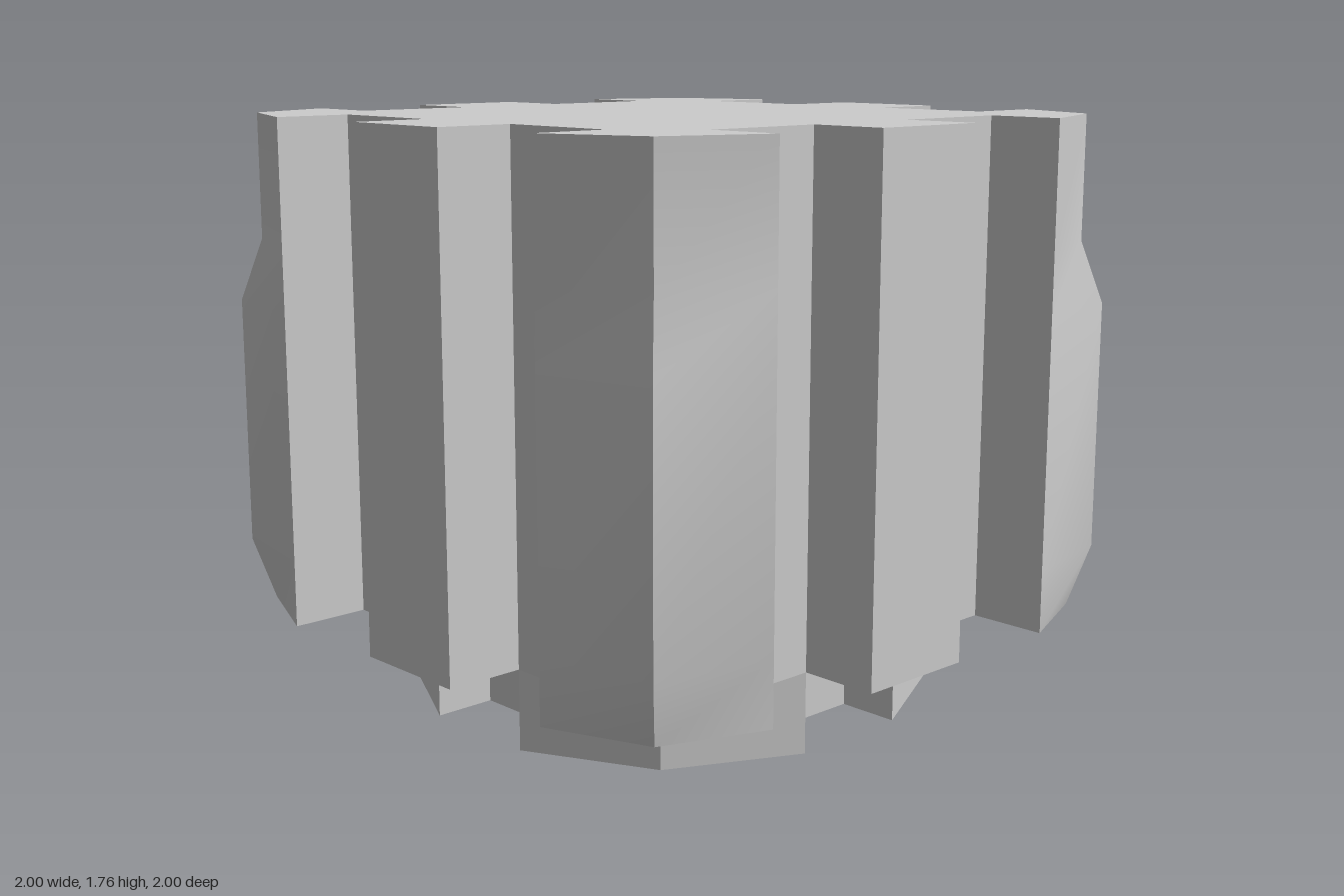
import * as THREE from 'three';
import { toCreasedNormals } from 'three/addons/utils/BufferGeometryUtils.js';

// Repeats a quarter outline four times around the vertical axis
function fourfold(quarter) {
  const outline = [];
  for (let k = 0; k < 4; k++) {
    for (const [x, y] of quarter) {
      outline.push([[x, y], [-y, x], [-x, -y], [y, -x]][k]);
    }
  }
  return outline.map(([x, y]) => new THREE.Vector2(x, y));
}

// Closed solid through a stack of outlines, one per height
function loft(levels) {
  const positions = [];
  const put = (level, i) => positions.push(level.outline[i].x, level.y, -level.outline[i].y);
  const count = levels[0].outline.length;
  for (let l = 0; l < levels.length - 1; l++) {
    const low = levels[l], high = levels[l + 1];
    for (let i = 0; i < count; i++) {
      const j = (i + 1) % count;
      put(low, i); put(low, j); put(high, j);
      put(low, i); put(high, j); put(high, i);
    }
  }
  const bottom = levels[0], top = levels[levels.length - 1];
  for (const [a, b, c] of THREE.ShapeUtils.triangulateShape(top.outline, [])) {
    put(top, a); put(top, b); put(top, c);
  }
  for (const [a, b, c] of THREE.ShapeUtils.triangulateShape(bottom.outline, [])) {
    put(bottom, a); put(bottom, c); put(bottom, b);
  }
  const geometry = new THREE.BufferGeometry();
  geometry.setAttribute('position', new THREE.Float32BufferAttribute(positions, 3));
  return toCreasedNormals(geometry, 0.4);
}

// Ribbed block: one middle rib and one bevelled corner per quarter
const bodyOutline = (corner) => fourfold([
  [1, -0.19], [1, 0.19], [0.76, 0.19], [0.76, 0.575], [1, 0.575],
  [corner, corner], [0.575, 1], [0.575, 0.76], [0.19, 0.76],
]);

// Smaller foot with a notch in each side
const footOutline = fourfold([
  [0.57, -0.19], [0.57, 0.19], [0.76, 0.19], [0.57, 0.57], [0.19, 0.76],
]);

export function createModel() {
  const group = new THREE.Group();
  const grey = new THREE.MeshStandardMaterial({ color: 0xcccccc });
  grey.name = 'light grey';

  // Corner edges bulge between the lower and upper bevels
  const profile = [[0.24, 0.88], [0.43, 0.93], [1.19, 0.93], [1.38, 0.88], [1.76, 0.88]];
  const body = new THREE.Mesh(
    loft(profile.map(([y, corner]) => ({ y, outline: bodyOutline(corner) }))), grey);
  body.name = 'ribbedBody';

  const foot = new THREE.Mesh(
    loft([0, 0.24].map((y) => ({ y, outline: footOutline }))), grey);
  foot.name = 'notchedFoot';

  group.add(body, foot);
  return group;
}
